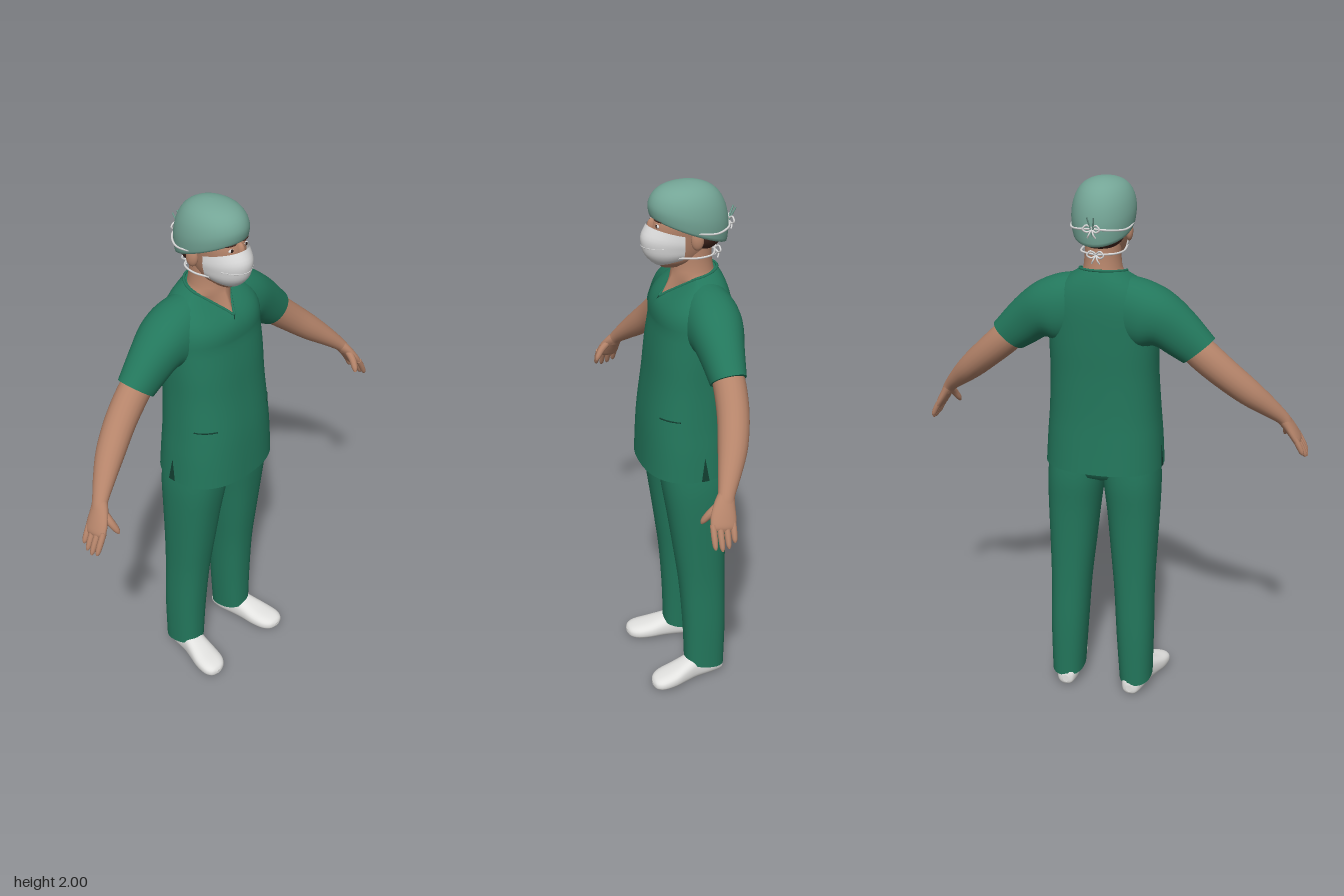
import * as THREE from 'three';

const paint = (name, color, side = THREE.FrontSide) => {
  const m = new THREE.MeshStandardMaterial({ color, side });
  m.name = name;
  return m;
};
const V = (x, y, z) => new THREE.Vector3(x, y, z);

// Smoothly resamples rows of numbers (cross-section sizes)
function smooth(rows, steps) {
  const f = new THREE.CubicInterpolant(rows.map((_, i) => i), rows.flat(), rows[0].length);
  const count = (rows.length - 1) * steps;
  return Array.from({ length: count + 1 }, (_, i) => [...f.evaluate(i / steps)]);
}

// Superellipse ring around c, spanned by the axes u and v
function ring(c, u, v, n = 2, sides = 32) {
  const p = (t) => Math.sign(t) * Math.abs(t) ** (2 / n);
  return Array.from({ length: sides }, (_, i) => {
    const a = (i / sides) * Math.PI * 2;
    return c.clone().addScaledVector(u, p(Math.cos(a))).addScaledVector(v, p(Math.sin(a)));
  });
}

// Horizontal ring given by its x centre, half width, back z and front z
const level = (y, cx, rx, zb, zf, n, sides) =>
  ring(V(cx, y, (zb + zf) / 2), V(rx, 0, 0), V(0, 0, (zf - zb) / 2), n, sides);

// Skin over rings of points; closed rings get end caps, winding is turned outward
function loft(rings, closed = true) {
  const n = rings[0].length, pts = rings.flat(), idx = [];
  for (let i = 0; i < rings.length - 1; i++)
    for (let j = 0; j < (closed ? n : n - 1); j++) {
      const a = i * n + j, b = i * n + ((j + 1) % n);
      idx.push(a, b, a + n, b, b + n, a + n);
    }
  if (closed) [rings[0], rings[rings.length - 1]].forEach((r, k) => {
    const s = pts.length;
    const mid = r.reduce((m, p) => m.add(p), V(0, 0, 0)).divideScalar(n);
    pts.push(...r, mid);
    for (let j = 0; j < n; j++) {
      const a = s + j, b = s + ((j + 1) % n);
      idx.push(...(k ? [a, b, s + n] : [b, a, s + n]));
    }
  });
  let vol = 0;
  const o = pts[0], d = (i) => pts[i].clone().sub(o);
  for (let i = 0; i < idx.length; i += 3) vol += d(idx[i]).dot(d(idx[i + 1]).cross(d(idx[i + 2])));
  if (vol < 0) idx.reverse();
  const g = new THREE.BufferGeometry().setFromPoints(pts);
  g.setIndex(idx);
  g.computeVertexNormals();
  return g;
}

// Round limb along a path of rows [x, y, z, radius, flatness]
function limb(rows, s, steps = 4, sides = 20) {
  const r = smooth(rows, steps), at = (i) => V(s * r[i][0], r[i][1], r[i][2]);
  return loft(r.map((q, i) => {
    const t = at(Math.min(i + 1, r.length - 1)).sub(at(Math.max(i - 1, 0))).normalize();
    const side = V(0, 0, 1).addScaledVector(t, -t.z).normalize();
    return ring(at(i), side.clone().multiplyScalar(q[3]), t.clone().cross(side).multiplyScalar(q[3] * q[4]), 2, sides);
  }));
}

const tube = (pts, r, closed = false) =>
  new THREE.TubeGeometry(new THREE.CatmullRomCurve3(pts, closed), pts.length * 6, r, 6, closed);

export function createModel() {
  const model = new THREE.Group();
  const scrubs = paint('scrub green', 0x23775c), seam = paint('dark seam green', 0x123f31, THREE.DoubleSide);
  const capGreen = paint('cap green', 0x74a596), skin = paint('skin', 0xb5846a);
  const white = paint('mask white', 0xdcdcdc, THREE.DoubleSide), shoeWhite = paint('shoe white', 0xe2e2e0);
  const brown = paint('hair brown', 0x43271f), dark = paint('eye dark', 0x2a1c18);
  const add = (name, geo, mat) => {
    const m = new THREE.Mesh(geo, mat);
    m.name = name;
    model.add(m);
    return m;
  };
  const ball = (name, mat, x, y, z, rx, ry, rz) => {
    const m = add(name, new THREE.SphereGeometry(1, 24, 16), mat);
    m.position.set(x, y, z);
    m.scale.set(rx, ry, rz);
    return m;
  };

  // Shirt body: rows [y, half width, back z, front z], then up to a V-shaped collar
  const N = 64, body = smooth([[0.94, 0.22, -0.17, 0.175], [1.05, 0.214, -0.163, 0.17], [1.15, 0.206, -0.158, 0.162],
    [1.29, 0.199, -0.157, 0.143], [1.4, 0.2, -0.16, 0.13], [1.5, 0.2, -0.161, 0.113]], 4);
  const collar = Array.from({ length: N }, (_, i) => {
    const a = (i / N) * Math.PI * 2, k = Math.abs(Math.cos(a)), s = Math.sin(a);
    return s > 0 ? V(0.085 * Math.cos(a), 1.595 + 0.08 * k, 0.088 - 0.108 * k)
      : V(0.085 * Math.cos(a), 1.675 - 0.015 * s, -0.02 + 0.1 * s);
  });
  const rings = body.map(([y, rx, zb, zf]) => level(y, 0, rx, zb, zf, 2.4, N));
  const chest = rings[rings.length - 1];
  for (let t = 0.125; t <= 1; t += 0.125)
    rings.push(chest.map((p, i) => {
      const q = p.clone().lerp(collar[i], t ** 3);
      q.y = THREE.MathUtils.lerp(p.y, collar[i].y, t);
      return q;
    }));
  add('shirtBody', loft(rings), scrubs);
  add('collarTrim', tube(collar.filter((_, i) => i % 2 === 0), 0.005, true), scrubs);
  add('wrapSeam', tube([V(0, 1.592, 0.09), V(-0.016, 1.56, 0.101), V(-0.03, 1.53, 0.106)], 0.003), seam);

  // Trouser seat
  add('trouserSeat', loft([[1, 0.2, -0.125, 0.13], [0.94, 0.2, -0.13, 0.125], [0.9, 0.14, -0.11, 0.095], [0.87, 0.03, -0.05, 0.04]]
    .map(([y, rx, zb, zf]) => level(y, 0, rx, zb, zf, 2.6))), scrubs);

  // Neck with the skin inside the collar
  const neckRows = [[1.665, 0.077, -0.112, 0.046], [1.69, 0.068, -0.107, 0.042], [1.73, 0.064, -0.1, 0.036], [1.79, 0.064, -0.1, 0.04]];
  add('neck', loft([collar.map((p) => V(p.x * 0.98, p.y - 0.004, p.z - 0.003)),
    ...neckRows.map(([y, rx, zb, zf]) => level(y, 0, rx, zb, zf, 2, N))]), skin);

  // Head
  add('head', loft(smooth([[1.705, 0.03, 0, 0.085], [1.73, 0.056, -0.06, 0.112], [1.77, 0.071, -0.1, 0.12],
    [1.82, 0.081, -0.122, 0.119], [1.87, 0.087, -0.132, 0.112], [1.93, 0.08, -0.12, 0.08]], 4)
    .map(([y, rx, zb, zf]) => level(y, 0, rx, zb, zf, 2.1))), skin);
  ball('hair', brown, 0, 1.825, -0.058, 0.089, 0.072, 0.084);
  ball('noseBridge', skin, 0, 1.852, 0.113, 0.013, 0.03, 0.018);

  // Surgical cap: rows [scale, rise from the slanted rim]
  add('cap', loft(smooth([[0.86, 0.03], [0.95, 0], [0.985, 0.13], [1, 0.3], [0.97, 0.47], [0.89, 0.65], [0.73, 0.82],
    [0.5, 0.93], [0.24, 0.985], [0.02, 1]], 2).map(([s, h]) =>
    level(0, 0, 0.112, -0.16, 0.124, 2, 40).map((p) =>
      V(p.x * s, THREE.MathUtils.lerp(1.84 + 0.38 * p.z, 2, h), -0.018 + (p.z + 0.018) * s)))), capGreen);

  // Face mask: open shell wrapped round the front of the face
  add('mask', loft(smooth([[1.705, 0.03, 0.075], [1.718, 0.056, 0.108], [1.75, 0.074, 0.139], [1.785, 0.081, 0.151],
    [1.82, 0.085, 0.152], [1.86, 0.083, 0.132]], 3).map(([y, rx, zf], i) =>
    Array.from({ length: 25 }, (_, j) => {
      const a = (j / 24 - 0.5) * Math.PI, k = 1 - Math.cos(a);
      return V(rx * Math.sin(a), y + k * 0.03 * (1 - i / 7.5), 0.02 + (zf - 0.02) * Math.cos(a));
    })), false), white);
  add('maskFold', tube([V(-0.07, 1.79, 0.092), V(-0.04, 1.786, 0.134), V(0, 1.785, 0.151), V(0.04, 1.786, 0.134), V(0.07, 1.79, 0.092)], 0.002), white);

  for (const s of [1, -1]) {
    const side = s > 0 ? 'left' : 'right';

    // Eyes, brows and ears
    ball(side + 'Eye', white, s * 0.035, 1.862, 0.104, 0.013, 0.006, 0.005);
    ball(side + 'Iris', dark, s * 0.035, 1.862, 0.107, 0.006, 0.006, 0.004);
    ball(side + 'Brow', brown, s * 0.037, 1.881, 0.103, 0.022, 0.004, 0.006).rotation.y = s * 0.35;
    ball(side + 'Ear', skin, s * 0.092, 1.815, -0.02, 0.014, 0.034, 0.022).rotation.y = -s * 0.3;

    // Mask ties and bows
    add(side + 'UpperStrap', tube([V(s * 0.083, 1.85, 0.025), V(s * 0.106, 1.845, -0.02), V(s * 0.098, 1.835, -0.09),
      V(s * 0.055, 1.84, -0.147), V(0, 1.845, -0.163)], 0.004), white);
    add(side + 'LowerStrap', tube([V(s * 0.07, 1.752, 0.04), V(s * 0.076, 1.746, -0.03), V(s * 0.06, 1.746, -0.085),
      V(0, 1.745, -0.116)], 0.004), white);
    for (const [y, z] of [[1.845, -0.165], [1.745, -0.117]]) {
      add(side + 'BowLoop', tube([V(0, y, z), V(s * 0.018, y + 0.014, z - 0.008), V(s * 0.03, y, z - 0.01),
        V(s * 0.016, y - 0.01, z - 0.006)], 0.0035, true), white);
      add(side + 'BowTail', tube([V(0, y, z), V(s * 0.008, y - 0.018, z - 0.01), V(s * 0.014, y - 0.03, z - 0.005)], 0.003), white);
    }
    add(side + 'CapTie', tube([V(0, 1.82, -0.158), V(s * 0.006, 1.855, -0.17), V(s * 0.012, 1.89, -0.187)], 0.003), capGreen);

    // Sleeve: rows of top point, bottom point, z centre, half depth
    add(side + 'Sleeve', loft(smooth([[0.09, 1.665, 0.1, 1.41, -0.05, 0.095], [0.17, 1.65, 0.15, 1.405, -0.052, 0.1],
      [0.25, 1.613, 0.2, 1.42, -0.05, 0.092], [0.33, 1.545, 0.25, 1.392, -0.045, 0.076],
      [0.41, 1.455, 0.302, 1.362, -0.04, 0.062]], 4).map(([tx, ty, bx, by, z, d]) =>
      ring(V(s * (tx + bx) / 2, (ty + by) / 2, z), V(s * (tx - bx) / 2, (ty - by) / 2, 0), V(0, 0, d), 2.15, 32))), scrubs);

    // Arm
    add(side + 'Arm', limb([[0.31, 1.45, -0.04, 0.054, 1], [0.37, 1.395, -0.04, 0.056, 1.05], [0.45, 1.325, -0.024, 0.055, 1],
      [0.53, 1.255, 0.006, 0.051, 0.95], [0.595, 1.198, 0.04, 0.04, 0.9], [0.645, 1.15, 0.069, 0.029, 0.85],
      [0.662, 1.125, 0.079, 0.031, 0.7]], s), skin);

    // Hand
    add(side + 'Palm', limb([[0.642, 1.155, 0.067, 0.026, 0.85], [0.665, 1.122, 0.083, 0.037, 0.55], [0.685, 1.09, 0.093, 0.044, 0.42],
      [0.7, 1.064, 0.098, 0.044, 0.36], [0.705, 1.053, 0.1, 0.036, 0.28]], s), skin);
    for (let i = 0; i < 4; i++) {
      const z = 0.064 + i * 0.023, len = [0.8, 0.98, 1.05, 0.95][i];
      add(side + 'Finger', limb([[0.695, 1.075, z, 0.011, 1], [0.695 + 0.021 * len, 1.075 - 0.037 * len, z + 0.002, 0.011, 1],
        [0.695 + 0.035 * len, 1.075 - 0.066 * len, z + 0.003, 0.009, 1],
        [0.695 + 0.041 * len, 1.075 - 0.078 * len, z + 0.003, 0.004, 1]], s, 3, 10), skin);
    }
    add(side + 'Thumb', limb([[0.66, 1.125, 0.1, 0.014, 1], [0.658, 1.098, 0.128, 0.014, 1], [0.65, 1.07, 0.148, 0.011, 1],
      [0.646, 1.056, 0.155, 0.005, 1]], s, 3, 10), skin);

    // Trouser leg: rows [y, inner x, outer x, back z, front z]; hem dips at the back
    add(side + 'TrouserLeg', loft(smooth([[0.98, 0, 0.205, -0.13, 0.128], [0.88, 0.003, 0.214, -0.134, 0.118],
      [0.76, 0.018, 0.213, -0.126, 0.1], [0.6, 0.034, 0.207, -0.121, 0.078], [0.44, 0.05, 0.202, -0.12, 0.058],
      [0.25, 0.062, 0.203, -0.122, 0.045], [0.06, 0.075, 0.2, -0.117, 0.04]], 4).map(([y, xi, xo, zb, zf]) =>
      level(y, s * (xi + xo) / 2, (xo - xi) / 2, zb, zf, 2.3).map((p) => {
        p.y += (p.z + 0.04) * 0.25 * Math.max(0, 1 - y / 0.3);
        return p;
      }))), scrubs);

    // Shoe: rows [z, centre x, half width, height, sole lift]
    add(side + 'Shoe', loft(smooth([[-0.118, 0.13, 0.012, 0.045, 0.015], [-0.108, 0.132, 0.033, 0.072, 0.003], [-0.06, 0.136, 0.045, 0.095, 0],
      [0, 0.145, 0.046, 0.103, 0], [0.05, 0.156, 0.05, 0.088, 0], [0.1, 0.166, 0.056, 0.07, 0], [0.15, 0.174, 0.053, 0.059, 0.002],
      [0.178, 0.178, 0.036, 0.048, 0.008], [0.188, 0.179, 0.012, 0.035, 0.018]], 3).map(([z, x, w, h, lift]) =>
      ring(V(s * x, (h + lift) / 2, z), V(w, 0, 0), V(0, (h - lift) / 2, 0), 2.5, 28))), shoeWhite);

    // Pocket seam following the shirt front, and side slit at the hem
    const pocket = [0.13, 0.15, 0.17, 0.19].map((x) =>
      V(s * x, 1.18, -0.0005 + 0.158 * (1 - (x / 0.204) ** 2.4) ** (1 / 2.4)));
    add(side + 'PocketSeam', tube(pocket, 0.003), seam);
    const slit = new THREE.BufferGeometry().setFromPoints([V(s * 0.2225, 0.941, 0.004), V(s * 0.2225, 0.941, -0.026), V(s * 0.2175, 1.035, -0.01)]);
    slit.computeVertexNormals();
    add(side + 'HemSlit', slit, seam);
  }
  return model;
}
